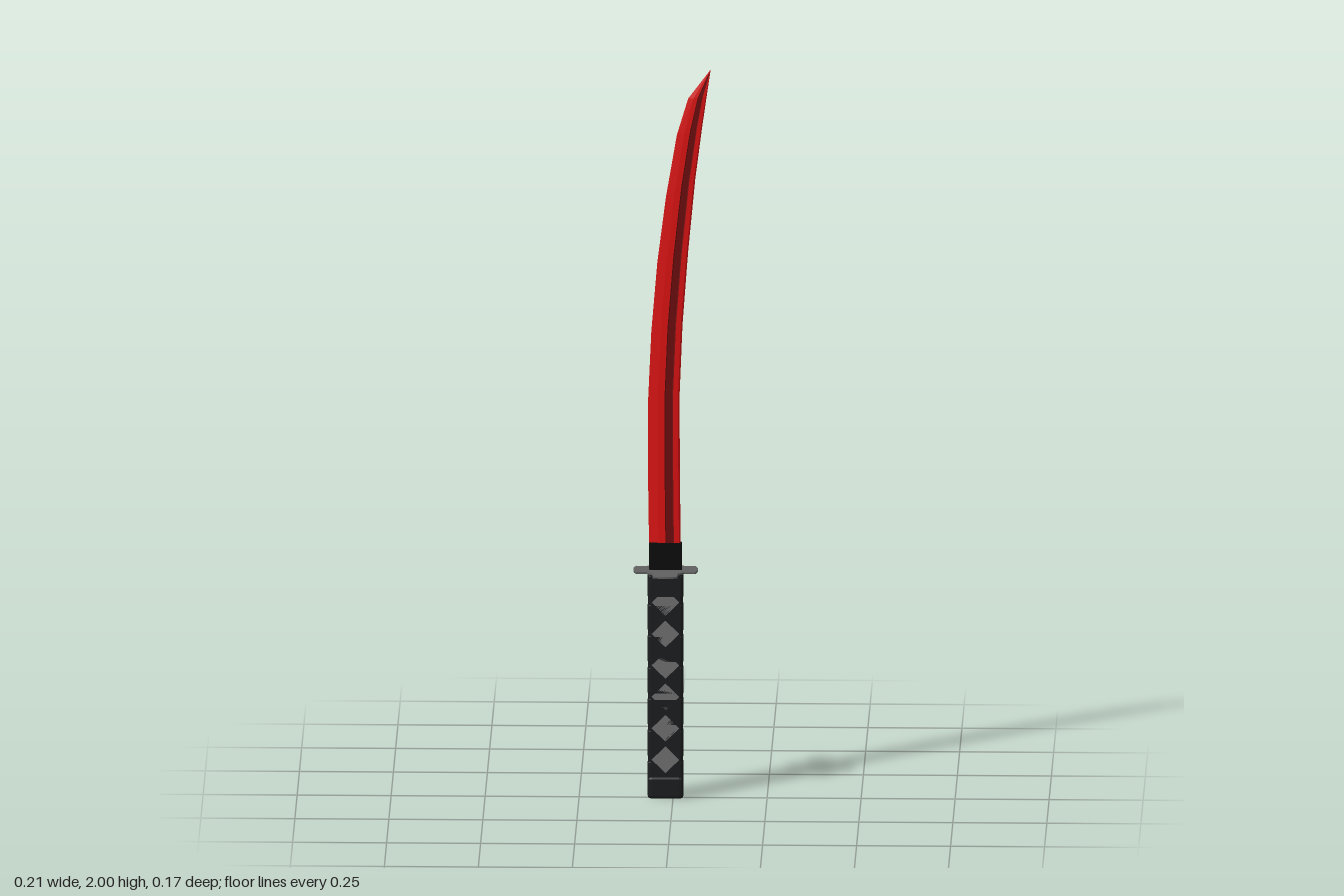
import * as THREE from 'three';

const AXIS = -0.02; // x of the grip's centre line

const paint = (color, extra = {}) => new THREE.MeshStandardMaterial({ color, flatShading: true, ...extra });

// Rectangle with rounded corners, centred on the origin
function roundedRect(hw, hh, r) {
  const s = new THREE.Shape();
  s.moveTo(-hw + r, -hh);
  s.lineTo(hw - r, -hh).quadraticCurveTo(hw, -hh, hw, -hh + r);
  s.lineTo(hw, hh - r).quadraticCurveTo(hw, hh, hw - r, hh);
  s.lineTo(-hw + r, hh).quadraticCurveTo(-hw, hh, -hw, hh - r);
  s.lineTo(-hw, -hh + r).quadraticCurveTo(-hw, -hh, -hw + r, -hh);
  return s;
}

// Extrudes a plan shape upwards from y0 to y1
function upright(shape, y0, y1, bevel = 0) {
  const g = new THREE.ExtrudeGeometry(shape, {
    depth: y1 - y0 - 2 * bevel, curveSegments: 4,
    bevelEnabled: bevel > 0, bevelThickness: bevel, bevelSize: bevel, bevelOffset: -bevel, bevelSegments: 2,
  });
  g.rotateX(-Math.PI / 2);
  g.translate(AXIS, y0 + bevel, 0);
  return g;
}

// Blade stations: [edge x, edge y, spine x, spine y]
const STATIONS = [
  [-0.064, 0.69, 0.020, 0.69],
  [-0.067, 0.90, 0.018, 0.90],
  [-0.067, 1.08, 0.017, 1.10],
  [-0.058, 1.28, 0.025, 1.30],
  [-0.042, 1.47, 0.040, 1.50],
  [-0.019, 1.65, 0.059, 1.70],
  [0.010, 1.82, 0.077, 1.84],
  [0.040, 1.92, 0.089, 1.925],
  [0.100, 2.00, 0.100, 2.00],
];

// Lofts a strip of the blade's cross-section, given as [fraction of width, z]
function bladeStrip(section) {
  const pos = [], index = [], n = section.length;
  STATIONS.forEach(([ex, ey, sx, sy], i) => {
    const thin = i === STATIONS.length - 1 ? 0.1 : 1;
    for (const [t, z] of section) pos.push(ex + (sx - ex) * t, ey + (sy - ey) * t, z * thin);
  });
  for (let i = 0; i < STATIONS.length - 1; i++) {
    for (let j = 0; j < n - 1; j++) {
      const a = i * n + j, b = a + 1, c = a + n, d = c + 1;
      index.push(a, b, d, a, d, c);
    }
  }
  const g = new THREE.BufferGeometry();
  g.setAttribute('position', new THREE.Float32BufferAttribute(pos, 3));
  g.setIndex(index);
  g.computeVertexNormals();
  return g;
}

// Four-armed guard outline: curved arm ends joined by arcs of a smaller disc
function guardShape() {
  const s = new THREE.Shape();
  const R = 0.086, r = 0.06, w = 0.033;
  const tip = Math.asin(w / R), root = Math.asin(w / r);
  for (let k = 0; k < 4; k++) {
    const a = k * Math.PI / 2;
    const to = (rad, ang) => {
      const x = rad * Math.cos(ang), y = rad * Math.sin(ang);
      if (k === 0 && rad === R && ang === -tip) s.moveTo(x, y); else s.lineTo(x, y);
    };
    for (let i = 0; i <= 6; i++) to(R, a - tip + 2 * tip * i / 6);
    for (let i = 0; i <= 3; i++) to(r, a + root + (Math.PI / 2 - 2 * root) * i / 3);
  }
  s.closePath();
  return s;
}

function diamond(Type, y, h) {
  const p = new Type();
  p.moveTo(0, y - h);
  p.lineTo(h, y).lineTo(0, y + h).lineTo(-h, y);
  p.closePath();
  return p;
}

export function createModel() {
  const root = new THREE.Group();
  const add = (name, geometry, material, parent = root) => {
    const m = new THREE.Mesh(geometry, material);
    m.name = name;
    parent.add(m);
    return m;
  };

  const red = paint(0xdd1010, { side: THREE.DoubleSide });
  const darkRed = paint(0x6e0c0c, { side: THREE.DoubleSide });
  const black = paint(0x0a0a0a);
  const cloth = paint(0x1b1c1e);
  const grey = paint(0x727272);
  const steel = paint(0x606060);

  // Blade: edge bevel, recessed groove and back, on both faces
  const blade = new THREE.Group();
  blade.name = 'blade';
  root.add(blade);
  for (const s of [1, -1]) {
    const z = 0.005 * s, zg = 0.0035 * s;
    add('edgeBevel', bladeStrip([[0, 0], [0.3, z * 0.8], [0.52, z]]), red, blade);
    add('groove', bladeStrip([[0.52, z], [0.55, zg], [0.76, zg], [0.79, z]]), darkRed, blade);
    add('bladeBack', bladeStrip([[0.79, z], [0.95, z], [1, z * 0.4], [1, 0]]), red, blade);
  }

  // Collar and guard
  add('collar', upright(roundedRect(0.044, 0.009, 0.004), 0.62, 0.70), black);
  add('guard', upright(guardShape(), 0.622, 0.627), steel);

  // Handle core and pommel
  add('handleCore', upright(roundedRect(0.046, 0.018, 0.010), 0.05, 0.622), cloth);
  add('pommel', upright(roundedRect(0.048, 0.0205, 0.012), 0, 0.062, 0.008), cloth);

  // Wrap with diamond openings and grey diamonds showing through
  const centres = Array.from({ length: 6 }, (_, i) => 0.108 + i * 0.0864);
  const wrapShape = new THREE.Shape([[-0.039, 0.062], [0.039, 0.062], [0.039, 0.622], [-0.039, 0.622]]
    .map(([x, y]) => new THREE.Vector2(x, y)));
  wrapShape.holes = centres.map((y) => diamond(THREE.Path, y, 0.037));
  const wrapGeometry = new THREE.ExtrudeGeometry(wrapShape, { depth: 0.003, bevelEnabled: false });
  for (const front of [true, false]) {
    const face = new THREE.Group();
    face.name = front ? 'frontWrap' : 'backWrap';
    face.position.x = AXIS;
    if (!front) face.rotation.y = Math.PI;
    root.add(face);
    add('wrap', wrapGeometry, cloth, face).position.z = 0.017;
    for (const y of centres) {
      add('diamond', new THREE.ShapeGeometry(diamond(THREE.Shape, y, 0.037)), grey, face).position.z = 0.0185;
    }
  }

  // Crossing cords round the narrow sides, between the diamonds
  for (let i = 0; i < 7; i++) {
    const y = 0.108 + (i - 0.5) * 0.0864;
    const h = i === 6 ? 0.03 : 0.036;
    add('sideCord', upright(roundedRect(0.0475, 0.0185, 0.010), Math.max(y - h, 0.05), Math.min(y + h, 0.62), 0.002), cloth);
  }
  return root;
}
